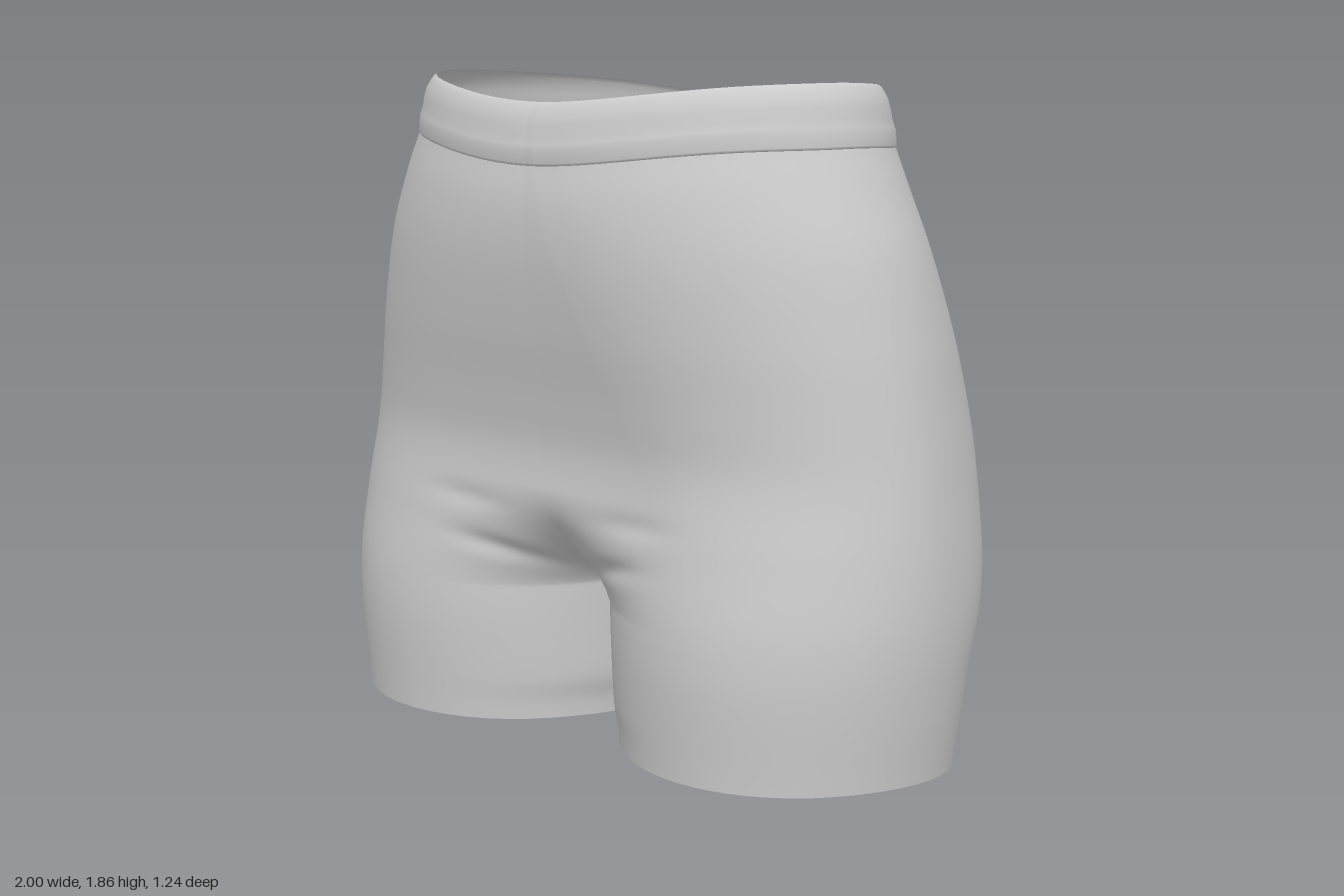
import * as THREE from 'three';
import { mergeVertices } from 'three/addons/utils/BufferGeometryUtils.js';

// Smooth curve through [height, value] pairs
function curve(pts) {
  const slope = (i) => {
    const a = pts[Math.max(i - 1, 0)], b = pts[Math.min(i + 1, pts.length - 1)];
    return (b[1] - a[1]) / (b[0] - a[0]);
  };
  return (y) => {
    let i = 0;
    while (i < pts.length - 2 && y > pts[i + 1][0]) i++;
    const [y0, v0] = pts[i], [y1, v1] = pts[i + 1], h = y1 - y0;
    const t = THREE.MathUtils.clamp((y - y0) / h, 0, 1), t2 = t * t, t3 = t2 * t;
    return v0 * (2 * t3 - 3 * t2 + 1) + v1 * (3 * t2 - 2 * t3)
      + h * (slope(i) * (t3 - 2 * t2 + t) + slope(i + 1) * (t3 - t2));
  };
}

// Outlines by height: side, front, back, and the fullest line of each leg in front and behind
const sideX = curve([[0, 0.965], [0.2, 0.985], [0.42, 0.998], [0.6, 0.992], [0.8, 0.97], [1, 0.94],
  [1.2, 0.905], [1.4, 0.852], [1.55, 0.785], [1.68, 0.728], [1.76, 0.715], [1.81, 0.69]]);
const frontZ = curve([[0, 0.565], [0.3, 0.578], [0.45, 0.572], [0.65, 0.545], [0.85, 0.525], [1, 0.545],
  [1.2, 0.585], [1.4, 0.615], [1.55, 0.617], [1.68, 0.595], [1.76, 0.588], [1.81, 0.57]]);
const backZ = curve([[0, -0.345], [0.15, -0.375], [0.29, -0.42], [0.35, -0.46], [0.45, -0.525], [0.6, -0.588],
  [0.82, -0.618], [1, -0.6], [1.2, -0.53], [1.4, -0.44], [1.55, -0.39], [1.68, -0.365], [1.81, -0.352]]);
const frontAxis = curve([[0, 0.5], [0.44, 0.49], [0.65, 0.44], [0.85, 0.36], [1.2, 0.2], [1.5, 0.08], [1.68, 0.03], [1.81, 0.03]]);
const backAxis = curve([[0, 0.5], [0.25, 0.48], [0.44, 0.42], [0.65, 0.34], [0.85, 0.3], [1.2, 0.23], [1.68, 0.2], [1.81, 0.2]]);
const backTaper = curve([[0, 1], [0.35, 1], [0.85, 1.12], [1.3, 1.05], [1.68, 1], [1.81, 1]]);
const gap = curve([[0, 0.034], [0.06, 0.028], [0.12, 0.013], [0.3, 0.006], [0.44, 0]]);
const CROTCH = 0.44, MID_Z = 0.1;

// How far the centre seam reaches towards the front or back at a height
function seam(y, range) {
  const u = THREE.MathUtils.clamp((y - CROTCH) / range, 0, 1) ** 1.4;
  return Math.min(0.998, Math.sqrt(1 - (1 - u) * (1 - u)));
}

// Waist line rises at the sides, hem tilts down to the back, creases run from the crotch
function finish(x, y, z) {
  const smooth = THREE.MathUtils.smoothstep;
  const lift = 0.055 * smooth(x, 0, 0.68) - 0.022 * smooth(-z, -0.2, 0.3) - 0.006;
  const hem = 0.003 + 0.044 * smooth(z, -0.4, 0.4);
  const py = y + lift * smooth(y, 1.2, 1.68) + hem * (1 - smooth(y, 0, 0.4));
  if (z > 0.2) {
    const low = Math.exp(-(((y - 0.5 - 0.4 * x + 0.45 * x * x) / 0.03) ** 2)) * Math.exp(-(((x - 0.2) / 0.13) ** 2));
    const high = Math.exp(-(((y - 0.69 - 0.03 * x) / 0.03) ** 2)) * Math.exp(-(((x - 0.3) / 0.12) ** 2));
    z -= 0.014 * low + 0.008 * high;
  }
  return [x, py, z];
}

// Quarter outline from the centre seam to the side, in front or behind
function quarter(y, cx, side, depth, range, taper) {
  const inner = 12, outer = 16, pts = [];
  const start = Math.acos(seam(y, range));
  const reach = (y < CROTCH ? cx - gap(y) : cx) / Math.sin(start);
  const add = (r, t) => pts.push(finish(Math.max(0, cx + r * Math.sin(t)), y,
    MID_Z + depth * Math.max(0, Math.cos(t)) ** taper));
  for (let i = 0; i < inner; i++) add(-reach, start * (1 - i / inner));
  for (let i = 0; i <= outer; i++) add(side - cx, (i / outer) * Math.PI / 2);
  return pts;
}

// Half ring on the left: centre front, round the side, to centre back
function halfRing(y, out = 0) {
  const side = sideX(y) + out;
  const front = quarter(y, frontAxis(y), side, frontZ(y) + out - MID_Z, 0.33, 1);
  const back = quarter(y, backAxis(y), side, backZ(y) - out - MID_Z, 0.4, backTaper(y));
  return [...front, ...back.reverse().slice(1)];
}

// Skin the half rings and their mirror images, welded along the centre
function skin(rings) {
  const pos = [], index = [], n = rings[0].length;
  for (const s of [1, -1]) {
    const base = pos.length / 3;
    for (const ring of rings) for (const [x, y, z] of ring) pos.push(s * x, y, z);
    for (let j = 0; j < rings.length - 1; j++) {
      for (let i = 0; i < n - 1; i++) {
        const a = base + j * n + i, b = a + 1, c = a + n, d = c + 1;
        if (s > 0) index.push(a, b, d, a, d, c);
        else index.push(a, d, b, a, c, d);
      }
    }
  }
  let geo = new THREE.BufferGeometry();
  geo.setAttribute('position', new THREE.Float32BufferAttribute(pos, 3));
  geo.setIndex(index);
  geo = mergeVertices(geo, 1e-4);
  geo.computeVertexNormals();
  return geo;
}

export function createModel() {
  const group = new THREE.Group();
  group.name = 'shorts';
  const cloth = new THREE.MeshStandardMaterial({ color: 0xcccccc, side: THREE.DoubleSide });

  // Body and legs, with rows packed closer around the crotch
  const heights = [];
  for (let i = 0; i < 16; i++) heights.push(i * 0.025);
  for (let i = 0; i < 20; i++) heights.push(0.4 + i * 0.01);
  for (let i = 0; i < 16; i++) heights.push(0.6 + i * 0.0125);
  for (let i = 0; i <= 30; i++) heights.push(0.8 + i * 0.88 / 30);
  const body = new THREE.Mesh(skin(heights.map((y) => halfRing(y))), cloth);
  body.name = 'bodyAndLegs';
  group.add(body);

  // Waistband: [height, outward offset], with a thicker lower edge
  const profile = [[1.655, -0.006], [1.645, 0], [1.652, 0.004], [1.672, 0.009], [1.69, 0.012], [1.7, 0.01],
    [1.72, 0.006], [1.75, 0.004], [1.775, 0.003], [1.795, 0], [1.806, -0.003], [1.81, -0.008]];
  const band = new THREE.Mesh(skin(profile.map(([y, out]) => halfRing(y, out))), cloth);
  band.name = 'waistband';
  group.add(band);
  return group;
}
